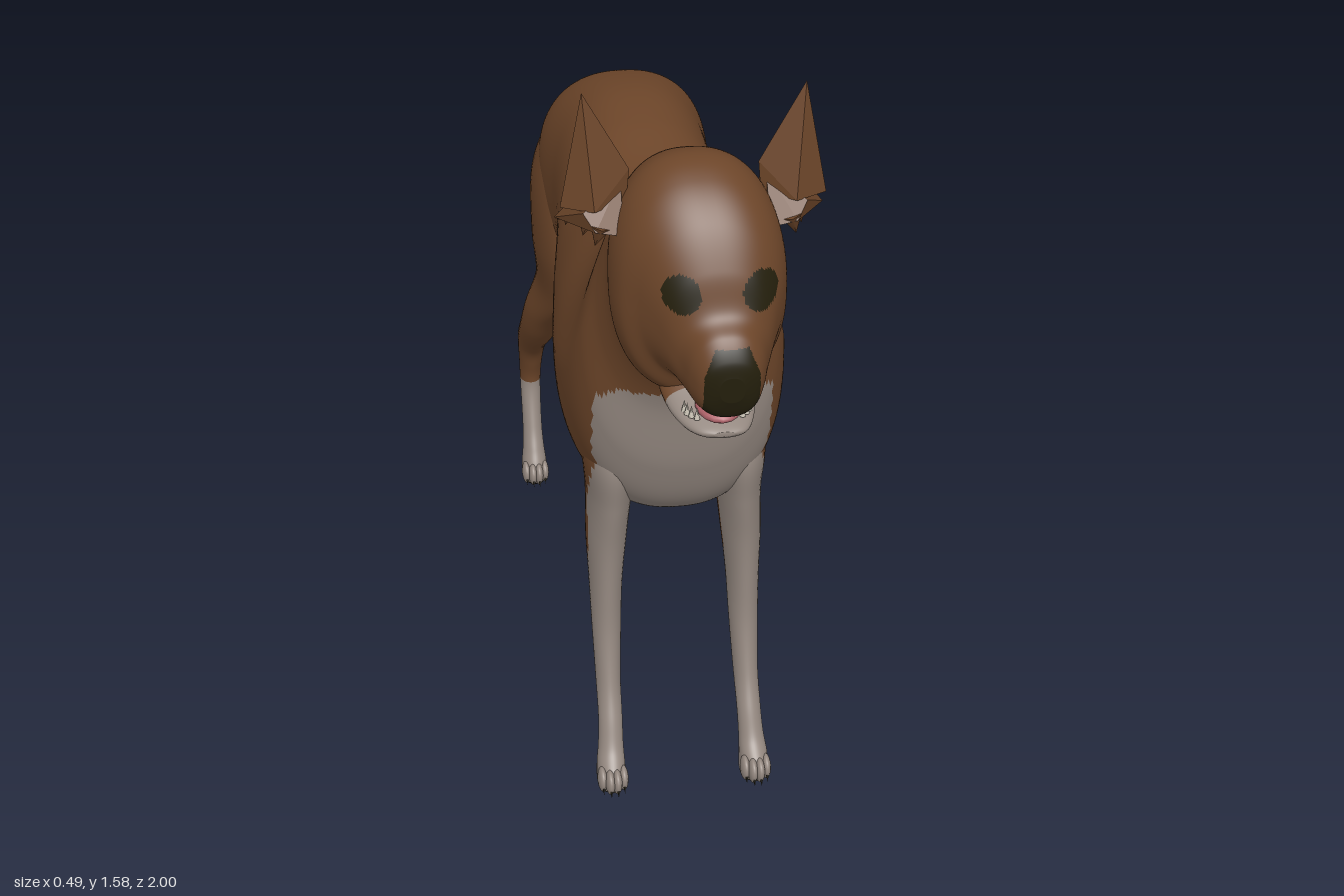
import * as THREE from 'three';
import { ConvexGeometry } from 'three/addons/geometries/ConvexGeometry.js';

const mat = (name, color) => {
  const m = new THREE.MeshStandardMaterial({ color });
  m.name = name;
  return m;
};

// Smooth loft through rows [z1, y1, z2, y2, halfWidth, centreX]; (z1,y1)-(z2,y2) is the
// section's long axis. paint(x, y, z) picks a material index for each quad, and
// taper(z1) narrows a section towards its first end.
function loft(rows, { sides = 32, steps = 8, power = 1, paint = () => 0, taper = () => 0 } = {}) {
  const last = rows.length - 1, n = last * steps;
  const at = i => rows[Math.min(last, Math.max(0, i))];
  const pos = [];
  const ring = (r, s) => {
    for (let j = 0; j < sides; j++) {
      const a = j / sides * Math.PI * 2;
      const soft = v => Math.sign(v) * Math.pow(Math.abs(v), power) * s;
      const d = soft(Math.sin(a)), c = soft(Math.cos(a)) * (1 - taper(r[0]) * Math.max(0, d));
      pos.push(r[5] + r[4] * c, (r[1] + r[3]) / 2 + (r[1] - r[3]) / 2 * d, (r[0] + r[2]) / 2 + (r[0] - r[2]) / 2 * d);
    }
  };
  ring(rows[0], 0);
  for (let i = 0; i <= n; i++) {
    const k = Math.min(last - 1, Math.floor(i / steps)), t = i / steps - k;
    const [p, q, r, s] = [at(k - 1), at(k), at(k + 1), at(k + 2)];
    ring(q.map((v, m) => v + 0.5 * t * (r[m] - p[m] + t * (2 * p[m] - 5 * v + 4 * r[m] - s[m]
      + t * (3 * (v - r[m]) + s[m] - p[m])))), 1);
  }
  ring(rows[last], 0);

  const buckets = [];
  for (let i = 0; i < n + 2; i++) for (let j = 0; j < sides; j++) {
    const a = i * sides + j, b = i * sides + (j + 1) % sides;
    const quad = [a, b, a + sides, b + sides];
    const mid = [0, 1, 2].map(m => quad.reduce((sum, v) => sum + pos[v * 3 + m], 0) / 4);
    const list = (buckets[paint(...mid)] ??= []);
    if (i < n + 1) list.push(a, b + sides, a + sides);
    if (i > 0) list.push(a, b, b + sides);
  }
  const geo = new THREE.BufferGeometry();
  geo.setAttribute('position', new THREE.Float32BufferAttribute(pos, 3));
  const index = [];
  buckets.forEach((list, m) => {
    geo.addGroup(index.length, list.length, m);
    for (const v of list) index.push(v);
  });
  geo.setIndex(index);
  geo.computeVertexNormals();
  return geo;
}

export function createModel() {
  const dog = new THREE.Group();
  dog.name = 'dog';
  const brown = mat('brown coat', 0x6c4529), white = mat('pale fur', 0x948880);
  const dark = mat('dark nose and claws', 0x241f0c), pink = mat('tongue pink', 0xb0636a);
  const ivory = mat('teeth', 0xc9c2b4);
  const coat = [brown, white, dark];

  const add = (name, geo, material, parent = dog) => {
    const m = new THREE.Mesh(geo, material);
    m.name = name;
    parent.add(m);
    return m;
  };
  const blob = (name, material, p, s) => {
    const m = add(name, new THREE.SphereGeometry(1, 16, 12), material);
    m.position.set(...p);
    m.scale.set(...s);
    return m;
  };

  // Rear edge of the pale front, shared by chest and front legs
  const paleEdge = y => 0.49 + Math.min(0.07, Math.max(0, y - 0.59) * 0.58);
  const bib = (x, y, z) => {
    const side = Math.abs(x - 0.006);
    return z > paleEdge(y) && side < 0.172 && y < 0.918 - Math.max(0, side - 0.13) * 0.8;
  };

  // Torso, neck and head in one skin, with bib, eyes and nose as coloured faces
  const bodyRows = [
    [-0.53, 0.93, -0.53, 0.87, 0.03, 0.02],
    [-0.515, 0.99, -0.53, 0.78, 0.095, 0.016],
    [-0.45, 1.055, -0.46, 0.70, 0.16, 0.013],
    [-0.35, 1.11, -0.34, 0.67, 0.18, 0.012],
    [-0.2, 1.143, -0.18, 0.665, 0.167, 0.012],
    [-0.05, 1.138, -0.03, 0.62, 0.174, 0.011],
    [0.14, 1.108, 0.12, 0.55, 0.199, 0.009],
    [0.3, 1.155, 0.28, 0.515, 0.215, 0.007],
    [0.4, 1.2, 0.42, 0.53, 0.217, 0.006],
    [0.46, 1.245, 0.56, 0.60, 0.208, 0.006],
    [0.51, 1.29, 0.625, 0.72, 0.19, 0.005],
    [0.55, 1.335, 0.66, 0.88, 0.158, 0],
    [0.6, 1.38, 0.705, 0.97, 0.143, 0],
    [0.66, 1.425, 0.755, 1.01, 0.148, 0],
    [0.74, 1.453, 0.80, 1.005, 0.156, 0],
    [0.81, 1.432, 0.842, 1.025, 0.15, 0.006],
    [0.87, 1.38, 0.862, 1.06, 0.128, 0.016],
    [0.915, 1.305, 0.89, 1.06, 0.102, 0.023],
    [0.94, 1.235, 0.925, 1.05, 0.08, 0.028],
    [0.975, 1.205, 0.955, 1.043, 0.066, 0.03],
    [0.995, 1.17, 0.98, 1.053, 0.05, 0.032],
    [1.0, 1.14, 0.997, 1.09, 0.022, 0.033],
  ];
  const bodyPaint = (x, y, z) => {
    const eye = z > 0.85 && Math.hypot(Math.abs(x - 0.025) - 0.07, y - 1.265) < 0.034;
    const nose = z > 0.955 && y < 1.19 && Math.abs(x - 0.034) < 0.05 - Math.max(0, y - 1.14) * 0.4;
    const lip = z > 0.88 && y < 1.058;
    if (eye || nose || lip) return 2;
    return bib(x, y, z) ? 1 : 0;
  };
  const withers = z => 0.35 * Math.exp(-(((z - 0.42) / 0.14) ** 2));
  add('body', loft(bodyRows, { sides: 120, steps: 16, power: 0.85, paint: bodyPaint, taper: withers }), coat);

  // Open lower jaw, tongue and teeth
  add('lowerJaw', loft([
    [0.76, 1.08, 0.76, 1.01, 0.08, 0.01],
    [0.82, 1.068, 0.82, 0.995, 0.085, 0.013],
    [0.87, 1.043, 0.875, 0.985, 0.078, 0.017],
    [0.915, 1.024, 0.918, 0.981, 0.062, 0.022],
    [0.945, 1.012, 0.946, 0.988, 0.042, 0.026],
    [0.957, 1.006, 0.957, 0.997, 0.018, 0.027],
  ], { paint: (x, y, z) => (z > 0.86 ? 1 : 0) }), coat);
  blob('tongue', pink, [0.024, 1.03, 0.9], [0.042, 0.017, 0.06]);
  for (const s of [1, -1]) for (let i = 0; i < 4; i++) {
    const a = s * (0.75 + i * 0.22);
    const tooth = add('tooth', new THREE.ConeGeometry(0.006, 0.024, 6), ivory);
    tooth.position.set(0.023 + 0.06 * Math.sin(a), 1.03, 0.887 + 0.052 * Math.cos(a));
  }

  // Tail sweeping down and back
  add('tail', loft([
    [-0.42, 0.96, -0.4, 1.04, 0.045, 0.018],
    [-0.49, 0.945, -0.535, 1.012, 0.053, 0.022],
    [-0.54, 0.855, -0.612, 0.895, 0.05, 0.027],
    [-0.62, 0.71, -0.69, 0.755, 0.044, 0.03],
    [-0.765, 0.585, -0.82, 0.64, 0.038, 0.03],
    [-0.9, 0.545, -0.91, 0.592, 0.032, 0.03],
    [-0.975, 0.545, -0.98, 0.567, 0.022, 0.03],
    [-1.0, 0.552, -1.0, 0.56, 0.008, 0.03],
  ]), brown);
  blob('bellySheath', brown, [0.01, 0.632, -0.115], [0.03, 0.033, 0.07]).rotation.x = 0.5;

  // Legs: rows are [y, frontZ, backZ, centreX, halfWidth]
  const frontLeg = [
    [0.92, 0.49, 0.37, 0.11, 0.045], [0.80, 0.55, 0.36, 0.117, 0.056],
    [0.70, 0.585, 0.36, 0.124, 0.056], [0.60, 0.572, 0.37, 0.128, 0.045],
    [0.50, 0.557, 0.40, 0.134, 0.04],
    [0.40, 0.553, 0.43, 0.137, 0.033], [0.30, 0.558, 0.465, 0.138, 0.029],
    [0.20, 0.583, 0.50, 0.139, 0.025], [0.13, 0.615, 0.555, 0.14, 0.024],
    [0.08, 0.64, 0.575, 0.142, 0.025], [0.045, 0.672, 0.58, 0.144, 0.028],
    [0.012, 0.68, 0.585, 0.144, 0.029], [0, 0.67, 0.6, 0.144, 0.026],
  ];
  const hindLeg = [
    [1.04, -0.3, -0.4, 0.09, 0.04], [0.95, -0.25, -0.475, 0.105, 0.06], [0.85, -0.22, -0.53, 0.117, 0.071],
    [0.72, -0.205, -0.535, 0.125, 0.064], [0.60, -0.25, -0.517, 0.13, 0.05],
    [0.50, -0.345, -0.525, 0.157, 0.045], [0.42, -0.415, -0.57, 0.17, 0.039],
    [0.34, -0.515, -0.645, 0.175, 0.032], [0.28, -0.548, -0.64, 0.178, 0.026],
    [0.22, -0.558, -0.618, 0.18, 0.023], [0.13, -0.53, -0.592, 0.18, 0.022],
    [0.08, -0.505, -0.575, 0.18, 0.024], [0.045, -0.485, -0.57, 0.18, 0.028],
    [0.012, -0.48, -0.57, 0.18, 0.029], [0, -0.49, -0.56, 0.18, 0.026],
  ];
  const frontPaint = (x, y, z) => {
    if (y < 0.008) return 2;
    return y < 0.295 || bib(x, y, z) ? 1 : 0;
  };
  const hindPaint = (x, y) => (y < 0.008 ? 2 : y < 0.235 ? 1 : 0);

  for (const s of [1, -1]) {
    const side = s > 0 ? 'left' : 'right';
    for (const [name, rows, paint, toeZ, footX] of [
      ['FrontLeg', frontLeg, frontPaint, 0.67, 0.144],
      ['HindLeg', hindLeg, hindPaint, -0.49, 0.18],
    ]) {
      const sections = rows.map(([y, f, b, x, w]) => [f, y, b, y, w, s * x + 0.006]);
      add(side + name, loft(sections, { sides: 40, steps: 10, paint }), coat);
      // Toes with dark claws
      for (let i = 0; i < 4; i++) {
        const x = s * footX + 0.006 + (i - 1.5) * 0.014;
        const z = toeZ - (i % 3 ? 0 : 0.012);
        blob('toe', white, [x, 0.028, z], [0.01, 0.026, 0.024]);
        const claw = add('claw', new THREE.ConeGeometry(0.006, 0.028, 6), dark);
        claw.position.set(x, 0.02, z + 0.02);
        claw.rotation.x = 2.5;
      }
    }

    // Upright pointed ear over a ragged fold of skin
    const hull = pts => new ConvexGeometry(pts.map(([x, y, z]) => new THREE.Vector3(s * x, y, z)));
    add(side + 'Ear', hull([[0.198, 1.58, 0.742], [0.238, 1.362, 0.745], [0.115, 1.43, 0.745],
      [0.12, 1.37, 0.745], [0.18, 1.362, 0.775], [0.18, 1.37, 0.715]]), brown);
    add(side + 'EarFold', hull([[0.13, 1.41, 0.74], [0.13, 1.4, 0.69], [0.2, 1.38, 0.72], [0.243, 1.315, 0.69],
      [0.205, 1.305, 0.645], [0.18, 1.33, 0.79], [0.2, 1.36, 0.77], [0.13, 1.32, 0.79], [0.13, 1.31, 0.645]]), brown);
    for (const [x, z] of [[0.175, 0.775], [0.192, 0.735], [0.218, 0.69]]) {
      const tuft = add('earTuft', new THREE.ConeGeometry(0.02, 0.04, 6), brown);
      tuft.position.set(s * x, 1.317, z);
      tuft.rotation.set(Math.PI, 0, -s * 0.25);
    }
  }
  return dog;
}
